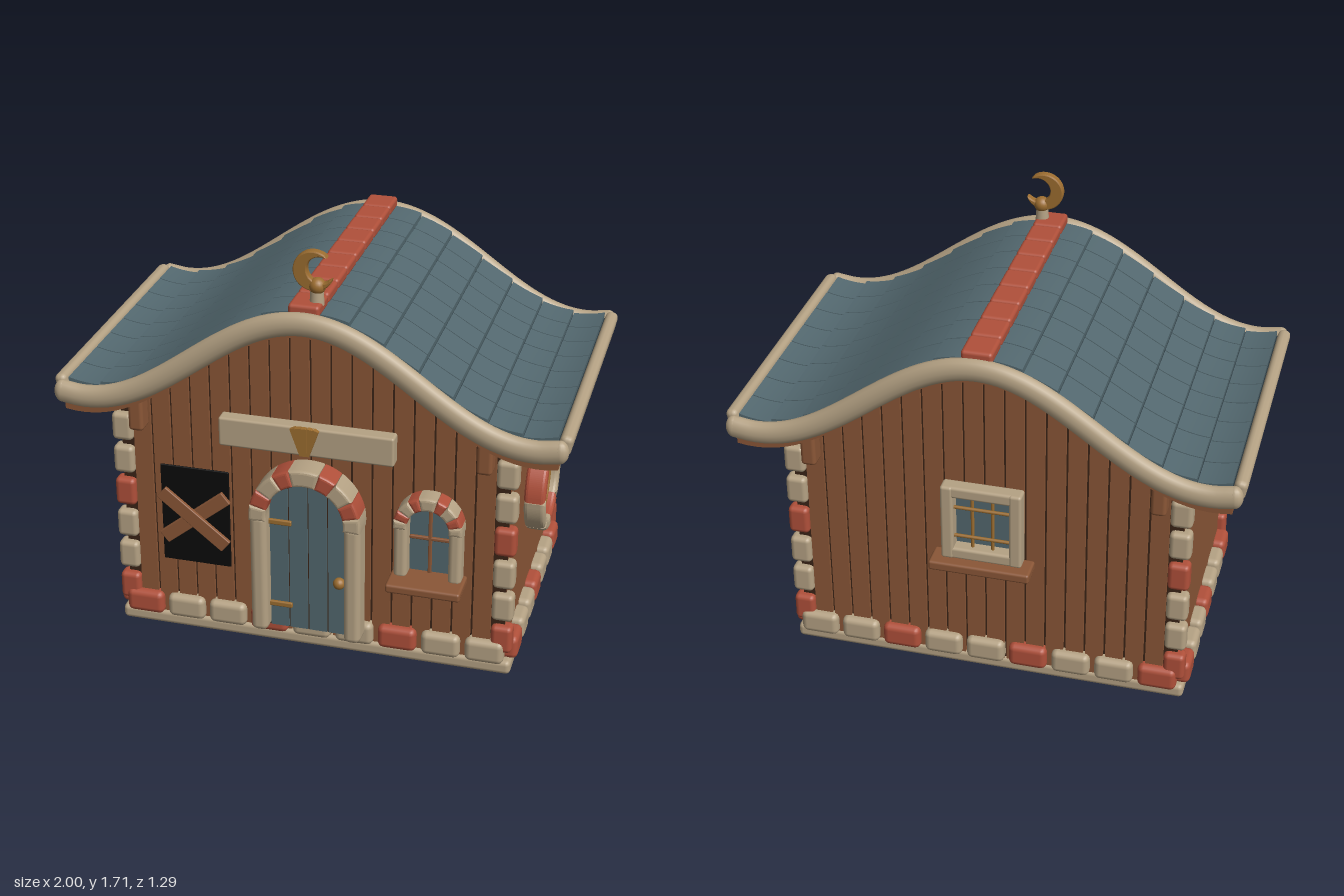
import * as THREE from 'three';
import { RoundedBoxGeometry } from 'three/addons/geometries/RoundedBoxGeometry.js';

const mat = (name, color, side = THREE.FrontSide) => {
  const m = new THREE.MeshStandardMaterial({ color, side });
  m.name = name;
  return m;
};

export function createModel() {
  const stone = mat('pale stone', 0xb5a284), red = mat('red brick', 0xb0503a);
  const wood = mat('wood', 0x8b5737), dark = mat('dark groove', 0x3a2416);
  const slate = mat('slate blue', 0x53686f), slateDark = mat('dark slate', 0x2c393f);
  const brass = mat('brass', 0x9c6d30), black = mat('black opening', 0x0b0b0b);

  const model = new THREE.Group();
  model.name = 'cottage';
  const group = (name, parent = model) => {
    const g = new THREE.Group();
    g.name = name;
    parent.add(g);
    return g;
  };
  const add = (parent, name, geo, material, x = 0, y = 0, z = 0) => {
    const m = new THREE.Mesh(geo, material);
    m.name = name;
    m.position.set(x, y, z);
    parent.add(m);
    return m;
  };
  const block = (parent, name, material, w, h, d, x, y, z, r = 0.015) =>
    add(parent, name, new RoundedBoxGeometry(w, h, d, 2, Math.min(r, w / 2.1, h / 2.1, d / 2.1)), material, x, y, z);

  // Height of the wavy roof line at x
  const roofY = x => 1.24 + 0.2 * Math.cos(Math.PI * x / 0.87);

  // Flat panel between x0 and x1 whose top follows a function
  const panel = (x0, x1, bottom, top, depth, steps = 6) => {
    const s = new THREE.Shape();
    s.moveTo(x0, bottom(x0));
    for (let i = 1; i <= steps; i++) s.lineTo(x0 + (x1 - x0) * i / steps, bottom(x0 + (x1 - x0) * i / steps));
    for (let i = steps; i >= 0; i--) s.lineTo(x0 + (x1 - x0) * i / steps, top(x0 + (x1 - x0) * i / steps));
    return new THREE.ExtrudeGeometry(s, { depth, bevelEnabled: false });
  };
  const flat = y => () => y;
  const archTop = (r, cy) => x => cy + Math.sqrt(Math.max(0, r * r - x * x));

  // Rounded piece of a ring, angles in degrees
  const ringPiece = (r0, r1, a0, a1, depth, b = 0.016) => {
    const da = (b + 0.001) / r1, k = Math.PI / 180;
    const s = new THREE.Shape();
    const lo = a0 * k + da, hi = a1 * k - da;
    s.absarc(0, 0, r1 - b, lo, hi, false);
    s.absarc(0, 0, r0 + b, hi, lo, true);
    return new THREE.ExtrudeGeometry(s, {
      depth: depth - 2 * b, bevelThickness: b, bevelSize: b, bevelSegments: 3, curveSegments: 8,
    }).translate(0, 0, b);
  };
  const archStones = (parent, r0, r1, cy, depth) => {
    const cuts = [-6, 12, 31, 55, 74, 106, 125, 149, 168, 186];
    for (let i = 0; i < 9; i++)
      add(parent, 'archStone', ringPiece(r0, r1, cuts[i], cuts[i + 1], depth, 0.012), i % 2 ? red : stone, 0, cy, 0);
  };

  // Base and house body
  block(model, 'baseSlab', stone, 1.6, 0.06, 1.03, 0, 0.03, -0.015, 0.02);
  add(model, 'houseBody', panel(-0.77, 0.77, flat(0.04), x => roofY(x) - 0.02, 0.99, 40), [dark, wood], 0, 0, -0.515);

  // Vertical planks on both gables
  const planks = group('gablePlanks');
  for (let i = 0; i < 18; i++) {
    const x = -0.72 + i * 0.08;
    const geo = panel(x + 0.005, x + 0.075, flat(0.06), t => roofY(t) - 0.04, 0.014);
    add(planks, 'frontPlank', geo, wood, 0, 0, 0.475);
    add(planks, 'backPlank', geo, wood, 0, 0, -0.529);
  }

  // Foundation stones and corner stones
  const stones = group('foundationStones');
  for (let i = 0; i < 9; i++)
    for (const z of [0.485, -0.525])
      block(stones, 'foundationStone', i % 3 ? stone : red, 0.155, 0.1, 0.07, (i - 4) * 0.174, 0.1, z, 0.025);
  for (let i = 0; i < 7; i++)
    for (const x of [-0.785, 0.785])
      block(stones, 'sideFoundationStone', i % 3 ? stone : red, 0.07, 0.1, 0.125, x, 0.1, 0.4 - i * 0.14, 0.025);
  const corners = group('cornerStones');
  for (const x of [-0.76, 0.76])
    for (const z of [0.473, -0.513])
      for (let i = 0; i < 6; i++)
        block(corners, 'cornerStone', i % 3 ? stone : red, 0.085, 0.118, 0.066, x, 0.16 + i * 0.144, z, 0.02);

  // Roof underlay and tiles
  const roof = group('roof');
  add(roof, 'roofUnderlay', panel(-0.96, 0.96, x => roofY(x) - 0.025, x => roofY(x) + 0.025, 1.19, 48), slateDark, 0, 0, -0.615);
  const tileGeo = (x0, x1, len) => {
    const g = new THREE.BoxGeometry(1, 0.02, len, 5, 1, 1);
    const p = g.attributes.position;
    for (let i = 0; i < p.count; i++) {
      const u = p.getX(i) + 0.5, x = x0 + (x1 - x0) * u;
      const tilt = 0.012 * (x0 < 0 ? 1 - u : u);
      p.setXY(i, x, roofY(x) + 0.026 + p.getY(i) + tilt);
    }
    g.computeVertexNormals();
    return g;
  };
  for (const s of [-1, 1])
    for (let c = 0; c < 7; c++) {
      const a = s * (0.04 + c * 0.13), b = s * (0.04 + (c + 1) * 0.13 - 0.004);
      const geo = tileGeo(Math.min(a, b), Math.max(a, b), 0.139);
      for (let r = 0; r < 8; r++) add(roof, 'roofTile', geo, slate, 0, 0, -0.528 + r * 0.144);
    }
  for (let i = 0; i < 9; i++)
    block(roof, 'ridgeTile', red, 0.12, 0.045, 0.129, 0, 1.488, -0.553 + i * 0.1325, 0.014);

  // Curved gable trim, wooden beam below it, eave beams and brackets
  const pts = [];
  for (let i = 0; i <= 24; i++) {
    const x = -0.96 + i * 0.08;
    pts.push(new THREE.Vector3(x, roofY(x), 0));
  }
  const trimGeo = new THREE.TubeGeometry(new THREE.CatmullRomCurve3(pts), 72, 0.046, 14).scale(1, 1, 0.7);
  const capGeo = new THREE.SphereGeometry(0.046, 14, 10).scale(0.7, 1, 0.7);
  const beamGeo = panel(-0.955, 0.955, x => roofY(x) - 0.058 - 0.02 * x * x, x => roofY(x), 0.045, 48);
  for (const [z, beamZ, bracketZ] of [[0.58, 0.53, 0.52], [-0.62, -0.615, -0.56]]) {
    add(roof, 'gableTrim', trimGeo, stone, 0, 0, z);
    add(roof, 'gableBeam', beamGeo, wood, 0, 0, beamZ);
    for (const s of [-1, 1]) {
      add(roof, 'trimEnd', capGeo, stone, s * 0.96, roofY(0.96), z);
      block(roof, 'bracket', wood, 0.06, 0.15, 0.075, s * 0.68, 0.975, bracketZ, 0.015);
    }
  }
  for (const s of [-1, 1])
    block(roof, 'eaveBeam', stone, 0.05, 0.085, 1.17, s * 0.973, 1.063, -0.02, 0.022).rotation.z = -s * 0.2;

  // Front door
  const door = group('door');
  door.position.z = 0.49;
  add(door, 'doorBacking', panel(-0.165, 0.165, flat(0.1), archTop(0.165, 0.62), 0.04, 24), dark);
  for (let i = 0; i < 4; i++) {
    const x = -0.156 + i * 0.078;
    add(door, 'doorPlank', panel(x + 0.003, x + 0.075, flat(0.105), archTop(0.163, 0.62), 0.05, 8), slate);
  }
  archStones(door, 0.153, 0.222, 0.62, 0.11);
  for (const s of [-1, 1]) block(door, 'doorPost', stone, 0.068, 0.52, 0.105, s * 0.187, 0.36, 0.0545, 0.025);
  for (const y of [0.21, 0.58]) block(door, 'hinge', brass, 0.1, 0.022, 0.014, -0.113, y, 0.057, 0.005);
  add(door, 'doorKnob', new THREE.SphereGeometry(0.024, 16, 12), brass, 0.13, 0.35, 0.07);

  // Arched front window
  const arched = group('archedWindow');
  arched.position.set(0.475, 0, 0.489);
  add(arched, 'glass', panel(-0.09, 0.09, flat(0.42), archTop(0.09, 0.645), 0.012, 20), slate);
  archStones(arched, 0.08, 0.134, 0.645, 0.085);
  for (const s of [-1, 1]) block(arched, 'windowPost', stone, 0.053, 0.235, 0.075, s * 0.106, 0.53, 0.0375, 0.02);
  block(arched, 'mullion', wood, 0.014, 0.31, 0.014, 0, 0.575, 0.018, 0.004);
  block(arched, 'crossbar', wood, 0.16, 0.014, 0.014, 0, 0.575, 0.018, 0.004);
  block(arched, 'sill', wood, 0.29, 0.036, 0.15, 0, 0.408, 0.077, 0.01);

  // Boarded opening
  const boarded = group('boardedWindow');
  boarded.position.set(-0.47, 0.525, 0.489);
  block(boarded, 'opening', black, 0.28, 0.425, 0.009, 0, 0, 0.004, 0.004);
  for (const s of [-1, 1])
    block(boarded, 'board', wood, 0.335, 0.058, 0.018, 0, 0, s > 0 ? 0.018 : 0.032, 0.004).rotation.z = s * 0.68;

  // Sign board with fan ornament
  const sign = group('signBoard');
  block(sign, 'board', stone, 0.685, 0.12, 0.06, 0, 0.95, 0.535, 0.01);
  for (let i = -2; i <= 2; i++) {
    const rib = add(sign, 'fanRib', new THREE.BoxGeometry(0.021, 0.115, 0.02).translate(0, 0.0575, 0), brass, i * 0.004, 0.9, 0.575 - Math.abs(i) * 0.003);
    rib.rotation.z = -i * 0.17;
  }

  // Round window in the left wall
  const round = group('roundWindow');
  round.position.set(0.77, 0.595, -0.018);
  round.rotation.y = Math.PI / 2;
  add(round, 'glass', new THREE.CircleGeometry(0.155, 36), slate, 0, 0, 0.006);
  for (let i = 0; i < 8; i++)
    add(round, 'frameStone', ringPiece(0.146, 0.196, i * 45, i * 45 + 45, 0.085), [0, 3, 6].includes(i) ? red : stone);
  add(round, 'innerRing', new THREE.TorusGeometry(0.142, 0.009, 8, 40), brass, 0, 0, 0.045);
  block(round, 'mullion', wood, 0.016, 0.28, 0.02, 0, 0, 0.02, 0.004);
  block(round, 'crossbar', wood, 0.28, 0.016, 0.02, 0, 0, 0.02, 0.004);

  // Square back window with bars
  const back = group('backWindow');
  back.position.set(0, 0.725, -0.528);
  back.rotation.y = Math.PI;
  add(back, 'glass', new THREE.BoxGeometry(0.25, 0.27, 0.012), slate, 0, 0, 0.004);
  for (const s of [-1, 1]) {
    block(back, 'frameSide', stone, 0.05, 0.33, 0.065, s * 0.135, 0, 0.0325, 0.012);
    block(back, 'frameRail', stone, 0.32, 0.05, 0.062, 0, s * 0.14, 0.031, 0.012);
    add(back, 'verticalBar', new THREE.CylinderGeometry(0.007, 0.007, 0.24, 8), brass, s * 0.04, 0, 0.03);
    add(back, 'horizontalBar', new THREE.CylinderGeometry(0.007, 0.007, 0.23, 8).rotateZ(Math.PI / 2), brass, 0, s * 0.065, 0.04);
  }
  block(back, 'sill', wood, 0.4, 0.04, 0.108, 0, -0.18, 0.054, 0.01);

  // Crescent finial on the ridge
  const finial = group('moonFinial');
  add(finial, 'post', new THREE.CylinderGeometry(0.024, 0.028, 0.06, 16), stone, 0.035, 1.525, 0.51);
  add(finial, 'ball', new THREE.SphereGeometry(0.032, 18, 14), brass, 0.037, 1.568, 0.51);
  const R = 0.073, h = 0.68, d = 0.026;
  const ty = R * Math.sin(h), tx = R * Math.cos(h) - d, a2 = Math.atan2(ty, tx);
  const moon = new THREE.Shape();
  moon.absarc(0, 0, R, h, 2 * Math.PI - h, false);
  moon.absarc(d, 0, Math.hypot(tx, ty), 2 * Math.PI - a2, a2, true);
  add(finial, 'crescent', new THREE.ExtrudeGeometry(moon, {
    depth: 0.016, bevelThickness: 0.01, bevelSize: 0.005, bevelSegments: 3, curveSegments: 24,
  }).translate(0, 0, -0.008), brass, 0.025, 1.628, 0.51).rotation.z = 0.22;

  return model;
}
